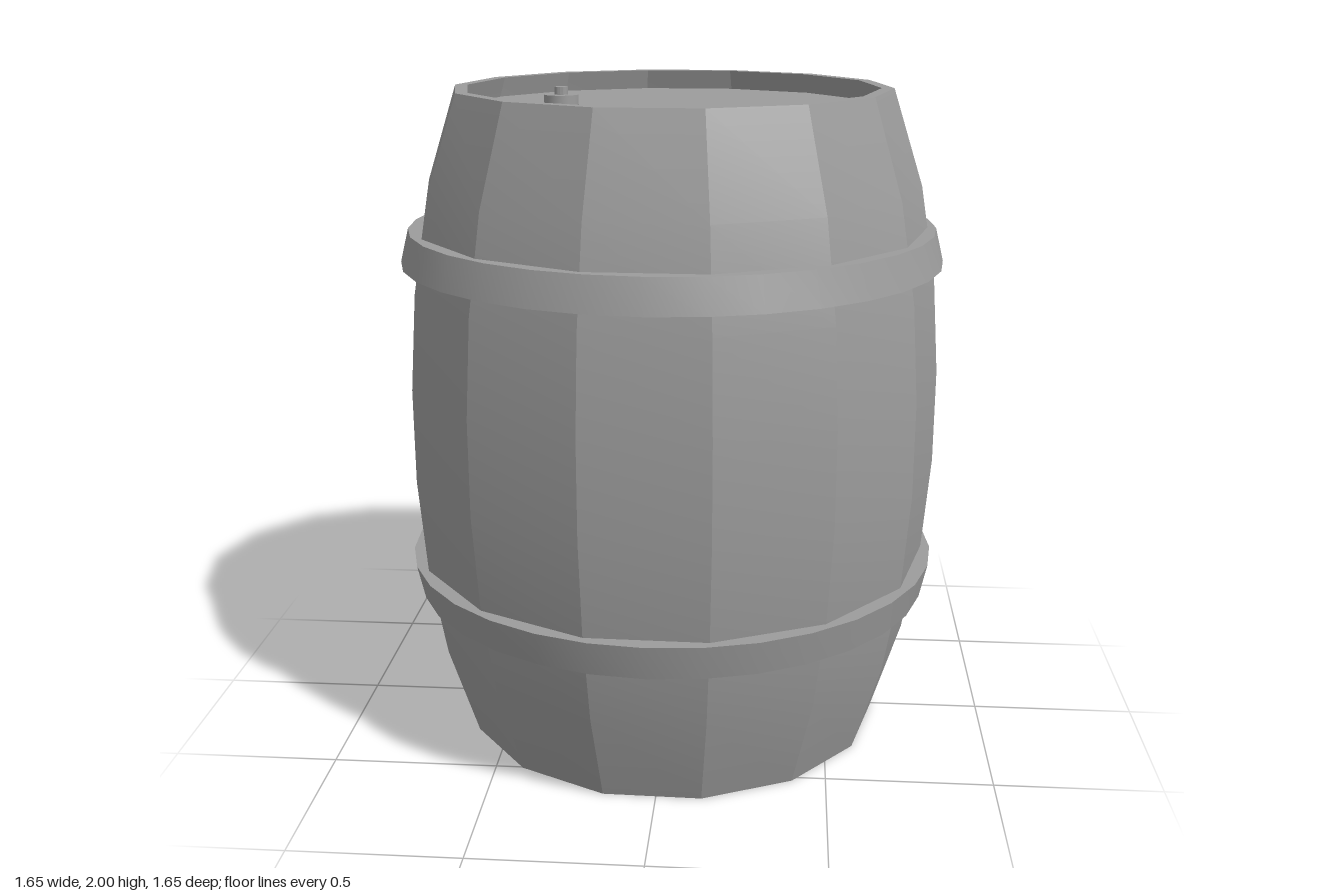
import * as THREE from 'three';
import { toCreasedNormals } from 'three/addons/utils/BufferGeometryUtils.js';

const STAVES = 14;
const STAVE_TURN = Math.PI / 2 - 0.018;
const LID_Y = 1.94;

export function createModel() {
  const barrel = new THREE.Group();
  barrel.name = 'barrel';
  const material = new THREE.MeshStandardMaterial({ color: 0x9c9c9c });

  function add(name, geometry, crease = 0.35) {
    const mesh = new THREE.Mesh(toCreasedNormals(geometry, crease), material);
    mesh.name = name;
    barrel.add(mesh);
    return mesh;
  }

  // Revolves a closed profile; the first corner lies close to +x
  function revolve(profile, sides) {
    const points = [...profile, profile[0]].map(([r, y]) => new THREE.Vector2(r, y));
    return new THREE.LatheGeometry(points, sides, STAVE_TURN);
  }

  // Bulging stave wall: outside going up, inside coming down
  const radii = [0.655, 0.745, 0.795, 0.818, 0.818, 0.797, 0.748, 0.655];
  const outer = radii.map((r, i) => [r, (2 * i) / (radii.length - 1)]);
  const inner = outer.map(([r, y]) => [r - 0.037, y]).reverse();
  add('staves', revolve([...outer, ...inner], STAVES));

  // Recessed lids at both ends
  for (const [name, y] of [['topLid', LID_Y], ['bottomLid', 2 - LID_Y]]) {
    const lid = new THREE.CylinderGeometry(0.635, 0.635, 0.03, STAVES, 1, false, STAVE_TURN);
    add(name, lid).position.y = y + (y > 1 ? -0.015 : 0.015);
  }

  // Tapered hoops, wider towards the belly
  const hoop = (y0, r0, y1, r1) =>
    revolve([[0.74, y0], [r0, y0], [r1, y1], [0.74, y1]], 32);
  add('upperHoop', hoop(1.49, 0.82, 1.59, 0.795), 0.5);
  add('lowerHoop', hoop(0.46, 0.8, 0.565, 0.823), 0.5);

  // Bung with a small pin on the top lid
  const bung = add('bung', new THREE.CylinderGeometry(0.052, 0.052, 0.036, 24), 0.5);
  bung.position.set(-0.33, LID_Y + 0.018, 0.015);
  const pin = add('bungPin', new THREE.CylinderGeometry(0.02, 0.02, 0.03, 16), 0.5);
  pin.position.set(-0.33, LID_Y + 0.044, 0.015);

  return barrel;
}
